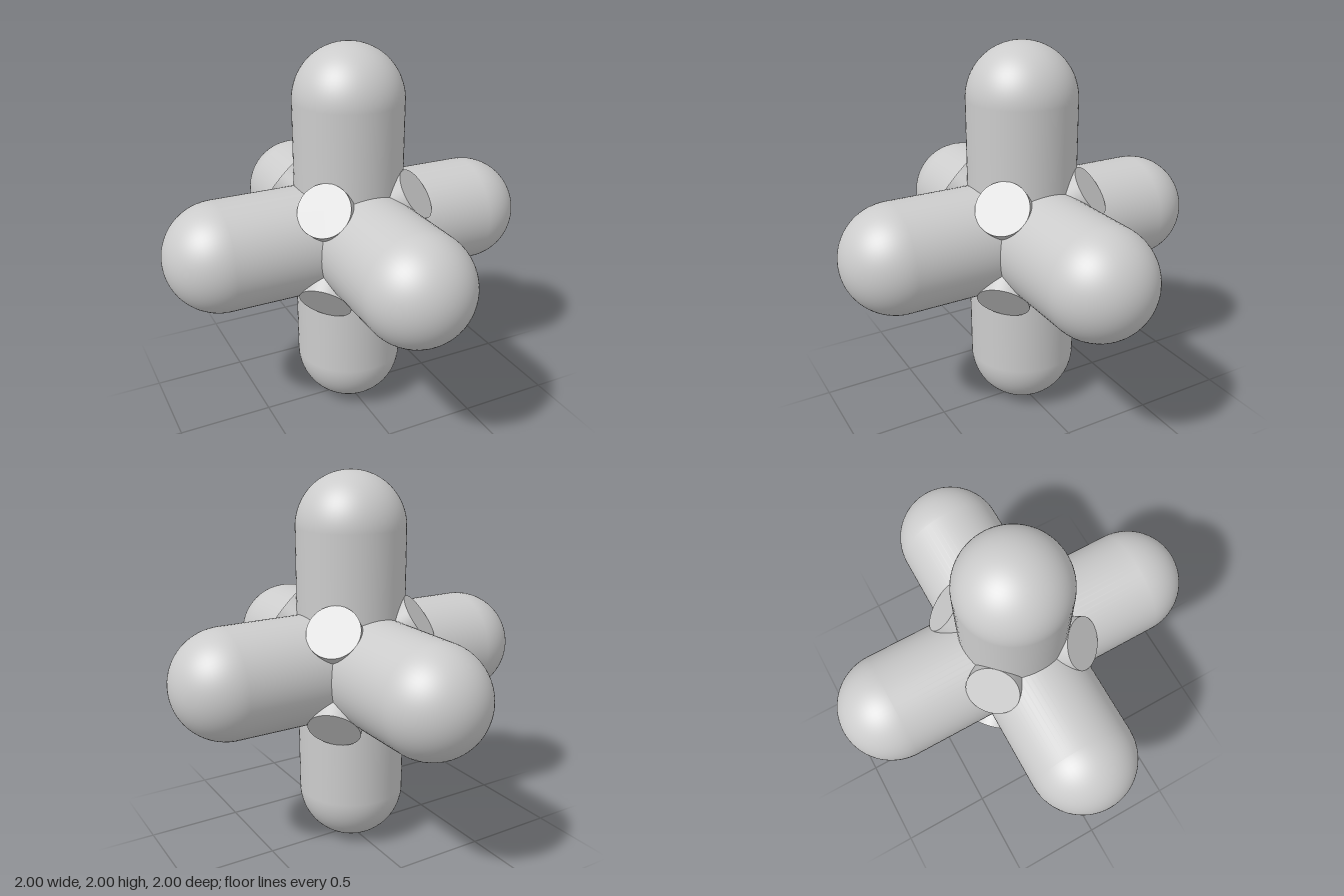
import * as THREE from 'three';

export function createModel() {
  const model = new THREE.Group();
  const material = new THREE.MeshStandardMaterial({ color: 0xcccccc });
  const up = new THREE.Vector3(0, 1, 0);
  const radius = 0.285, studRadius = 0.137, studReach = 0.445;

  // Places a y-aligned rod through the centre along a direction
  function addRod(name, geometry, x, y, z) {
    const rod = new THREE.Mesh(geometry, material);
    rod.name = name;
    rod.quaternion.setFromUnitVectors(up, new THREE.Vector3(x, y, z).normalize());
    rod.position.y = 1;
    model.add(rod);
  }

  // Three round-ended bars crossing at right angles
  const bar = new THREE.CapsuleGeometry(radius, 2 - 2 * radius, 20, 64);
  addRod('barX', bar, 1, 0, 0);
  addRod('barY', bar, 0, 1, 0);
  addRod('barZ', bar, 0, 0, 1);

  // Four pins through the corners, each showing a flat stud at both ends
  const pin = new THREE.CylinderGeometry(studRadius, studRadius, 2 * studReach, 64);
  for (const x of [-1, 1]) {
    for (const z of [-1, 1]) {
      addRod(`cornerPin${x > 0 ? 'Left' : 'Right'}${z > 0 ? 'Front' : 'Back'}`, pin, x, 1, z);
    }
  }
  return model;
}
